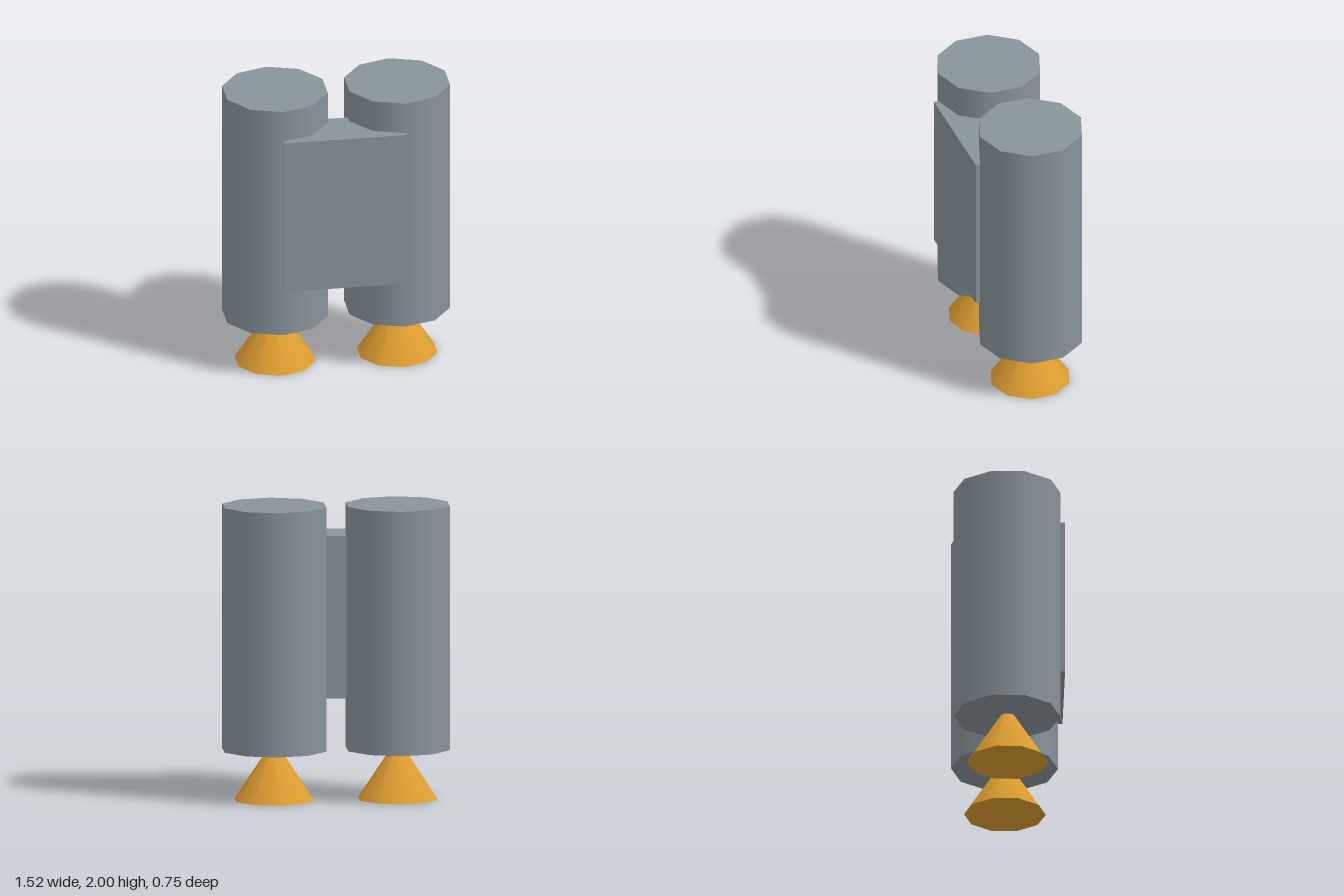
import * as THREE from 'three';

export function createModel() {
  const model = new THREE.Group();
  const grey = new THREE.MeshStandardMaterial({ color: 0x88939b });
  grey.name = 'grey metal';
  const amber = new THREE.MeshStandardMaterial({ color: 0xdd9d30 });
  amber.name = 'amber nozzle';

  const add = (name, geometry, material, x, y, z) => {
    const mesh = new THREE.Mesh(geometry, material);
    mesh.name = name;
    mesh.position.set(x, y, z);
    model.add(mesh);
  };

  // Ten-sided tanks, each with a nozzle cone whose tip sits inside the tank
  const tank = new THREE.CylinderGeometry(0.36, 0.36, 1.66, 10);
  const nozzle = new THREE.ConeGeometry(0.275, 0.414, 10);
  for (const [side, x] of [['left', 0.416], ['right', -0.416]]) {
    add(side + 'Tank', tank, grey, x, 1.17, -0.015);
    add(side + 'Nozzle', nozzle, amber, x, 0.207, -0.012);
  }

  // Pack body joining the tanks at the front
  add('backPlate', new THREE.BoxGeometry(0.832, 1.105, 0.336), grey, 0, 1.2275, 0.207);

  return model;
}
